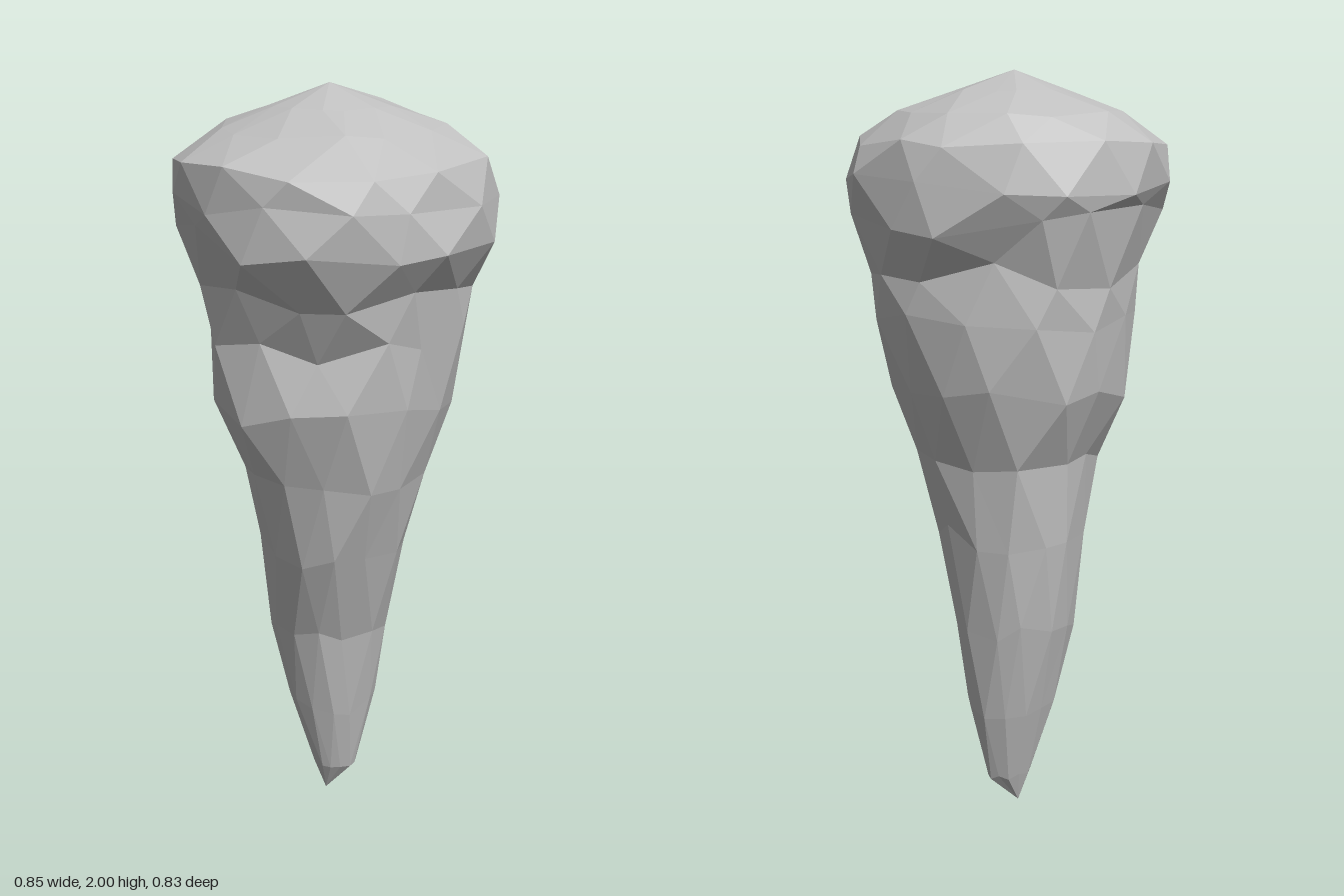
import * as THREE from 'three';

const SIDES = 13;

// Cross-sections of the spike, bottom to top: [y, xMin, xMax, zMin, zMax, height jitter]
const RINGS = [
  [0.08, -0.055, 0.065, -0.075, 0.01, 0.02],
  [0.28, -0.12, 0.12, -0.13, 0.052, 0.06],
  [0.53, -0.17, 0.15, -0.19, 0.11, 0.06],
  [0.78, -0.205, 0.187, -0.225, 0.21, 0.06],
  [1.0, -0.242, 0.245, -0.245, 0.26, 0.06],
  [1.18, -0.32, 0.305, -0.315, 0.3, 0.07],
  [1.36, -0.335, 0.345, -0.335, 0.31, 0.07],
  [1.5, -0.345, 0.38, -0.345, 0.355, 0.09],
  [1.63, -0.40, 0.41, -0.395, 0.41, 0.08],
  [1.72, -0.415, 0.415, -0.41, 0.415, 0.05],
  [1.82, -0.405, 0.39, -0.40, 0.395, 0.03],
  [1.893, -0.295, 0.285, -0.325, 0.25, 0.015],
  [1.947, -0.16, 0.15, -0.18, 0.12, 0.01],
];

// Chips and bulges: [angle in degrees (0 = +x, 90 = +z), y, depth, half angle, half height]
const CHIPS = [
  [125, 1.42, -0.07, 24, 0.11],
  [75, 0.6, -0.02, 18, 0.2],
  [80, 1.18, 0.02, 25, 0.1],
  [45, 1.5, -0.05, 22, 0.1],
  [350, 1.5, -0.03, 26, 0.1],
  [305, 1.48, -0.03, 22, 0.1],
  [75, 1.8, -0.02, 25, 0.08],
  [320, 0.97, -0.015, 24, 0.1],
  [225, 1.0, -0.01, 30, 0.1],
];

function seeded(seed) {
  return () => {
    seed = (seed * 16807) % 2147483647;
    return seed / 2147483647;
  };
}

// Offset of the surface where a chip or bulge touches it
function chipOffset(angle, y) {
  let sum = 0;
  for (const [deg, cy, depth, halfAngle, halfHeight] of CHIPS) {
    let da = Math.abs(angle * 180 / Math.PI - deg) % 360;
    if (da > 180) da = 360 - da;
    const d = Math.hypot(da / halfAngle, (y - cy) / halfHeight);
    sum += depth * Math.max(0, 1 - d * d * 0.5);
  }
  return sum;
}

function spikeGeometry() {
  const rnd = seeded(4127);
  const points = [];
  RINGS.forEach(([y, x0, x1, z0, z1, jitter], i) => {
    const cx = (x0 + x1) / 2, cz = (z0 + z1) / 2;
    const rx = (x1 - x0) / 2, rz = (z1 - z0) / 2;
    for (let j = 0; j < SIDES; j++) {
      const a = (j + (i % 2) * 0.5 + (rnd() - 0.5) * 0.4) / SIDES * Math.PI * 2;
      const k = 1.04 - rnd() * 0.055 + chipOffset(a, y) / Math.max(rx, 0.12);
      const lift = (rnd() - 0.5) * jitter;
      points.push(cx + Math.cos(a) * rx * k, y + lift, cz + Math.sin(a) * rz * k);
    }
  });
  const tip = points.length / 3, crown = tip + 1;
  points.push(-0.02, 0, -0.04, -0.01, 2, -0.03);

  const faces = [];
  const at = (i, j) => i * SIDES + (j + SIDES) % SIDES;
  for (let j = 0; j < SIDES; j++) {
    faces.push(tip, at(0, j), at(0, j + 1));
    for (let i = 0; i < RINGS.length - 1; i++) {
      const s = i % 2; // half-step stagger between neighbouring rings
      faces.push(at(i, j + 1), at(i, j), at(i + 1, j + s));
      faces.push(at(i + 1, j), at(i + 1, j + 1), at(i, j + 1 - s));
    }
    faces.push(crown, at(RINGS.length - 1, j + 1), at(RINGS.length - 1, j));
  }

  const indexed = new THREE.BufferGeometry();
  indexed.setAttribute('position', new THREE.Float32BufferAttribute(points, 3));
  indexed.setIndex(faces);
  const geometry = indexed.toNonIndexed();
  geometry.computeVertexNormals();
  return geometry;
}

export function createModel() {
  const group = new THREE.Group();
  group.name = 'rockSpike';
  const stone = new THREE.MeshStandardMaterial({ color: 0xc0c0c0, flatShading: true });
  stone.name = 'grey stone';
  // Faceted stone spike: broad domed cap tapering to a point
  const spike = new THREE.Mesh(spikeGeometry(), stone);
  spike.name = 'stoneSpike';
  group.add(spike);
  return group;
}
